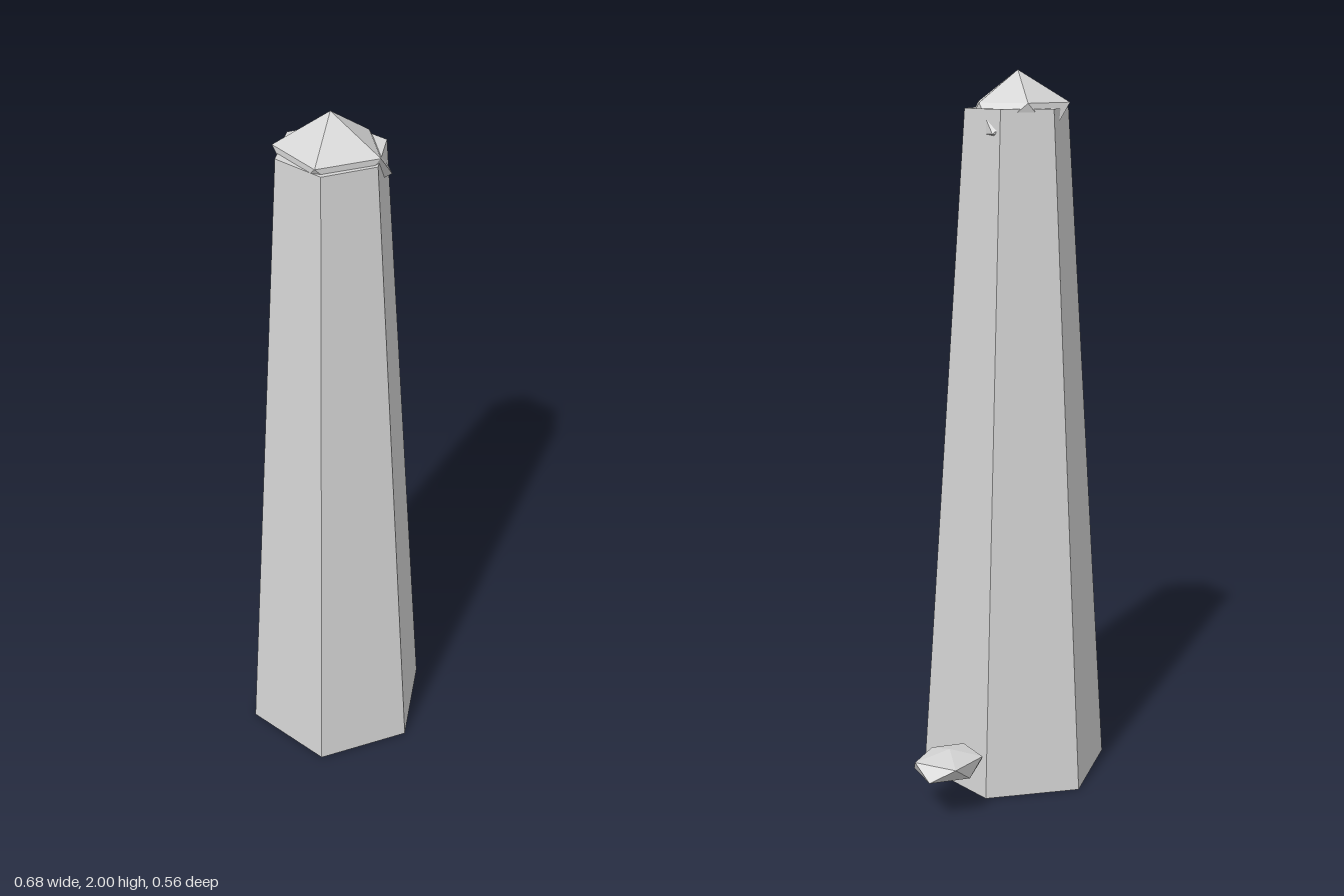
import * as THREE from 'three';
import { ConvexGeometry } from 'three/addons/geometries/ConvexGeometry.js';

const stone = new THREE.MeshStandardMaterial({ color: 0xd4d4d4 });
stone.name = 'light grey stone';
stone.flatShading = true;

// Irregular twenty-sided rock: top point, upper ring, lower ring, bottom point
function rock(name, points) {
  const mesh = new THREE.Mesh(
    new ConvexGeometry(points.map(p => new THREE.Vector3(...p))), stone);
  mesh.name = name;
  return mesh;
}

export function createModel() {
  const group = new THREE.Group();
  group.name = 'stonePillar';

  // Tapered six-sided shaft
  const shaft = new THREE.Mesh(
    new THREE.CylinderGeometry(0.1435, 0.271, 1.9, 6, 1, false, 0.21), stone);
  shaft.name = 'shaft';
  shaft.position.set(-0.0835, 0.95, 0.0115);
  group.add(shaft);

  // Rough capstone sunk into the top of the shaft
  group.add(rock('capstone', [
    [-0.085, 2.0, 0.01],
    [0.034, 1.915, 0.01], [-0.044, 1.915, -0.112], [-0.199, 1.915, -0.073],
    [-0.196, 1.915, 0.092], [-0.04, 1.915, 0.146],
    [0.036, 1.83, 0.098], [0.038, 1.836, -0.068], [-0.115, 1.835, -0.118],
    [-0.2, 1.835, 0.01], [-0.12, 1.835, 0.12],
    [-0.085, 1.755, 0.01],
  ]));

  // Small flattened stone beside the shaft
  group.add(rock('sideStone', [
    [0.233, 0.18, -0.171],
    [0.34, 0.165, -0.171], [0.272, 0.17, -0.279], [0.157, 0.16, -0.221],
    [0.165, 0.163, -0.127], [0.256, 0.165, -0.11],
    [0.33, 0.128, -0.236], [0.315, 0.12, -0.115], [0.2, 0.125, -0.08],
    [0.131, 0.125, -0.171], [0.21, 0.118, -0.245],
    [0.235, 0.098, -0.171],
  ]));

  return group;
}
